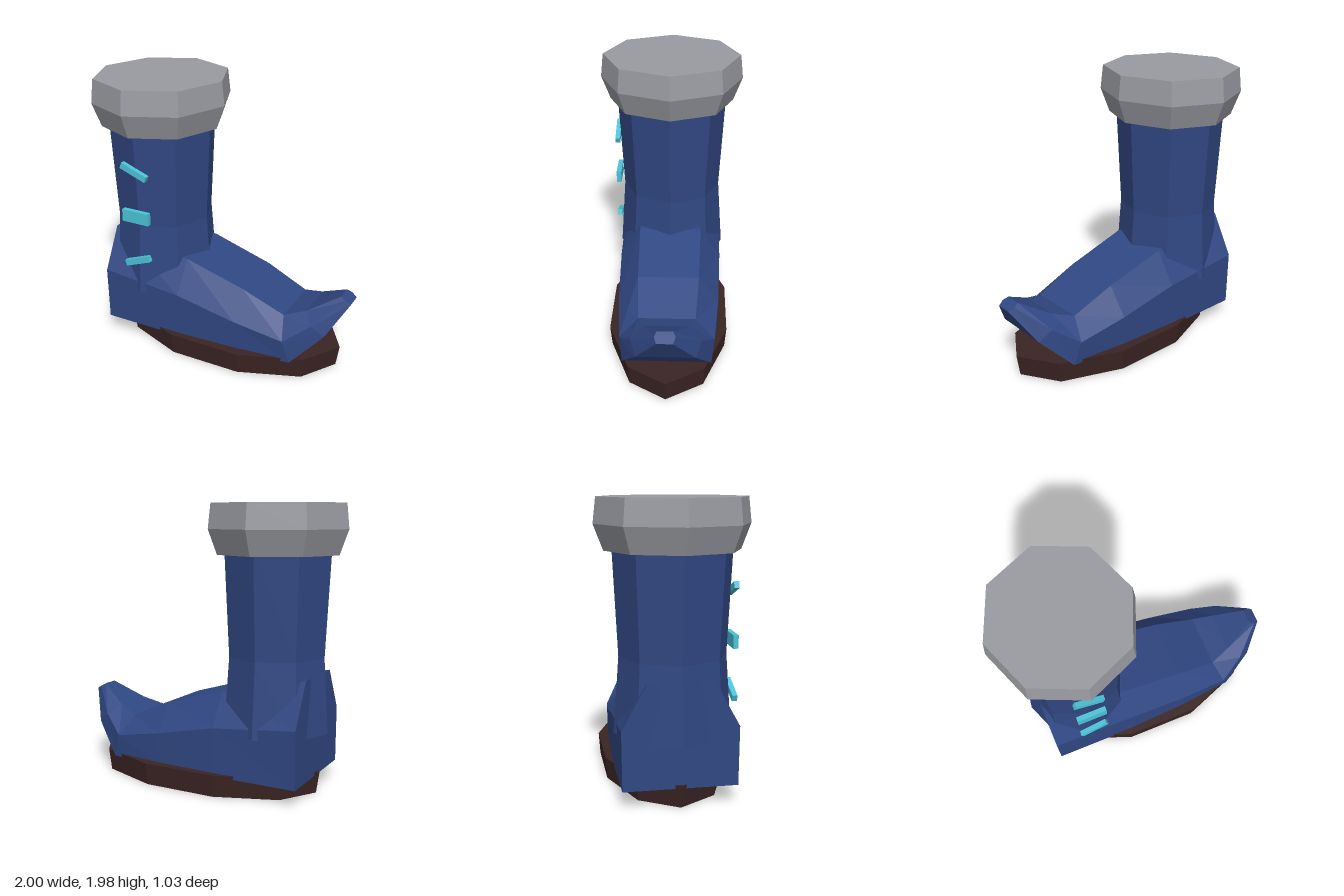
import * as THREE from 'three';

const leather = new THREE.MeshStandardMaterial({ color: 0x304782 });
leather.name = 'blue leather';
const fur = new THREE.MeshStandardMaterial({ color: 0x999ba1 });
fur.name = 'grey trim';
const rubber = new THREE.MeshStandardMaterial({ color: 0x3a2423 });
rubber.name = 'dark brown sole';
const metal = new THREE.MeshStandardMaterial({ color: 0x4bc3d7 });
metal.name = 'teal clasp';

// Split every face so that it gets its own flat normal
function faceted(geometry) {
  const flat = geometry.index ? geometry.toNonIndexed() : geometry;
  flat.computeVertexNormals();
  return flat;
}

function addPart(group, name, geometry, material) {
  const mesh = new THREE.Mesh(geometry, material);
  mesh.name = name;
  group.add(mesh);
  return mesh;
}

// Closed faceted column from [radius, y] pairs, bottom to top; corners lie on the x axis
function column(profile, sides, scaleX, scaleZ) {
  const points = [[0, profile[0][1]], ...profile, [0, profile[profile.length - 1][1]]]
    .map(([r, y]) => new THREE.Vector2(r, y));
  const geometry = new THREE.LatheGeometry(points, sides, Math.PI / 2);
  geometry.scale(scaleX, 1, scaleZ);
  return faceted(geometry);
}

// Mirrored six-sided sections, each given as top, middle and bottom [x, y, z]
function loft(sections) {
  const n = 6;
  const positions = [];
  for (const section of sections) {
    const mirrored = section.map(([x, y, z]) => [x, y, -z]).reverse();
    positions.push(...section.flat(), ...mirrored.flat());
  }
  const index = [];
  for (let s = 0; s < sections.length - 1; s++) {
    for (let i = 0; i < n; i++) {
      const a = s * n + i, b = s * n + (i + 1) % n;
      index.push(a, b, b + n, a, b + n, a + n);
    }
  }
  const last = (sections.length - 1) * n;
  for (let i = 1; i < n - 1; i++) {
    index.push(0, i + 1, i, last, last + i, last + i + 1);
  }
  const geometry = new THREE.BufferGeometry();
  geometry.setAttribute('position', new THREE.Float32BufferAttribute(positions, 3));
  geometry.setIndex(index);
  return faceted(geometry);
}

export function createModel() {
  const boot = new THREE.Group();
  boot.name = 'boot';
  const legX = -0.507;

  // Ten-sided sole, slightly wider at the top
  addPart(boot, 'sole', column([[0.973, 0], [1, 0.155]], 10, 0.878, 0.452), rubber)
    .position.x = 0.043;

  // Foot from heel to curled toe
  addPart(boot, 'foot', loft([
    [[-0.81, 0.83, 0.22], [-0.81, 0.53, 0.385], [-0.81, 0.13, 0.38]],
    [[-0.2, 0.7, 0.23], [-0.2, 0.47, 0.38], [-0.2, 0.13, 0.38]],
    [[0.25, 0.565, 0.22], [0.25, 0.37, 0.365], [0.25, 0.13, 0.36]],
    [[0.56, 0.43, 0.2], [0.61, 0.3, 0.335], [0.66, 0.13, 0.315]],
    [[0.71, 0.48, 0.15], [0.78, 0.42, 0.24], [0.87, 0.345, 0.205]],
    [[0.925, 0.605, 0.055], [0.96, 0.585, 0.07], [1, 0.562, 0.055]],
  ]), leather);

  // Waisted octagonal leg
  addPart(boot, 'shaft', column([[0.4, 0.43], [0.363, 0.95], [0.402, 1.7]], 8, 0.95, 1), leather)
    .position.x = legX;

  // Thick cuff round the top
  addPart(boot, 'cuff', column([[0.452, 1.64], [0.517, 1.81], [0.498, 1.98]], 8, 0.955, 1), fur)
    .position.x = legX;

  // Clasps on one side: height of centre, thickness, tilt
  for (const [y, height, tilt] of [[0.693, 0.045, 0.36], [1.04, 0.09, 0], [1.38, 0.045, -0.36]]) {
    const clasp = addPart(boot, 'clasp', new THREE.BoxGeometry(0.213, height, 0.035), metal);
    clasp.position.set(legX, y, 0.4);
    clasp.rotation.z = tilt;
  }

  return boot;
}
